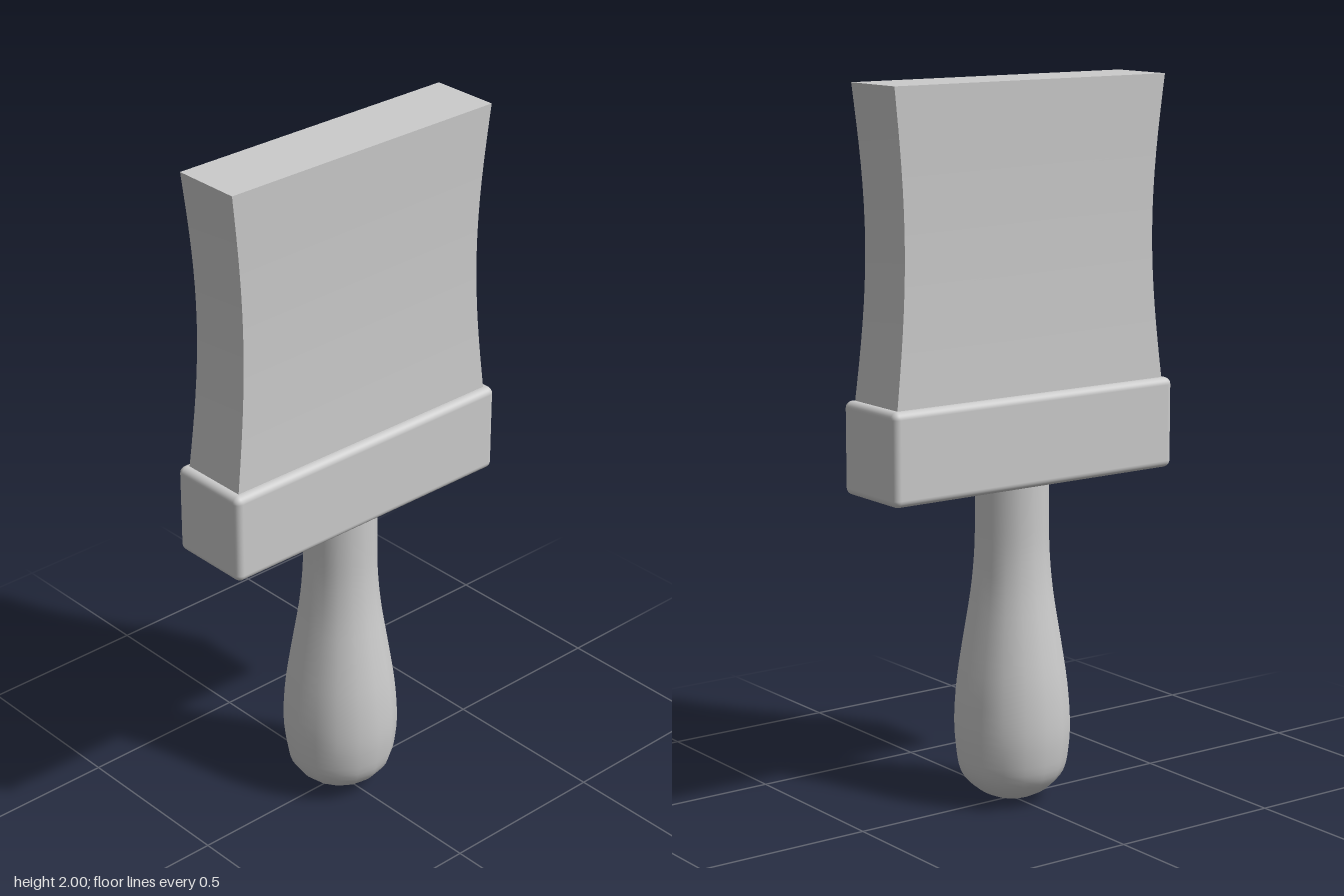
import * as THREE from 'three';
import { RoundedBoxGeometry } from 'three/addons/geometries/RoundedBoxGeometry.js';

const material = new THREE.MeshStandardMaterial({ color: 0xcccccc });

function addPart(group, name, geometry, y = 0) {
  const mesh = new THREE.Mesh(geometry, material);
  mesh.name = name;
  mesh.position.y = y;
  group.add(mesh);
}

// Turned handle: rounded butt, full belly, straight neck
function handleGeometry() {
  const curve = new THREE.SplineCurve([
    [0, 0], [0.055, 0.011], [0.108, 0.04], [0.145, 0.085], [0.159, 0.15], [0.163, 0.23],
    [0.155, 0.34], [0.137, 0.46], [0.116, 0.59], [0.106, 0.69], [0.103, 0.78], [0.103, 0.93],
  ].map(([r, y]) => new THREE.Vector2(r, y)));
  const profile = curve.getPoints(33);
  profile[0].x = 0;
  return new THREE.LatheGeometry(profile, 16);
}

// Bristle block, drawn in smoothly at mid height
function bristleGeometry() {
  const height = 0.85;
  const geometry = new THREE.BoxGeometry(0.89, height, 0.2, 1, 16, 1);
  const p = geometry.attributes.position;
  for (let i = 0; i < p.count; i++) {
    const t = p.getY(i) / height + 0.5;
    const s = 1 - 0.075 * Math.sin(Math.PI * t);
    p.setX(i, p.getX(i) * s);
    p.setZ(i, p.getZ(i) * s);
  }
  geometry.computeVertexNormals();
  return geometry;
}

export function createModel() {
  const brush = new THREE.Group();
  brush.name = 'paintBrush';
  addPart(brush, 'handle', handleGeometry());
  addPart(brush, 'ferrule', new RoundedBoxGeometry(0.936, 0.255, 0.246, 4, 0.02), 1.0325);
  addPart(brush, 'bristles', bristleGeometry(), 1.575);
  return brush;
}
